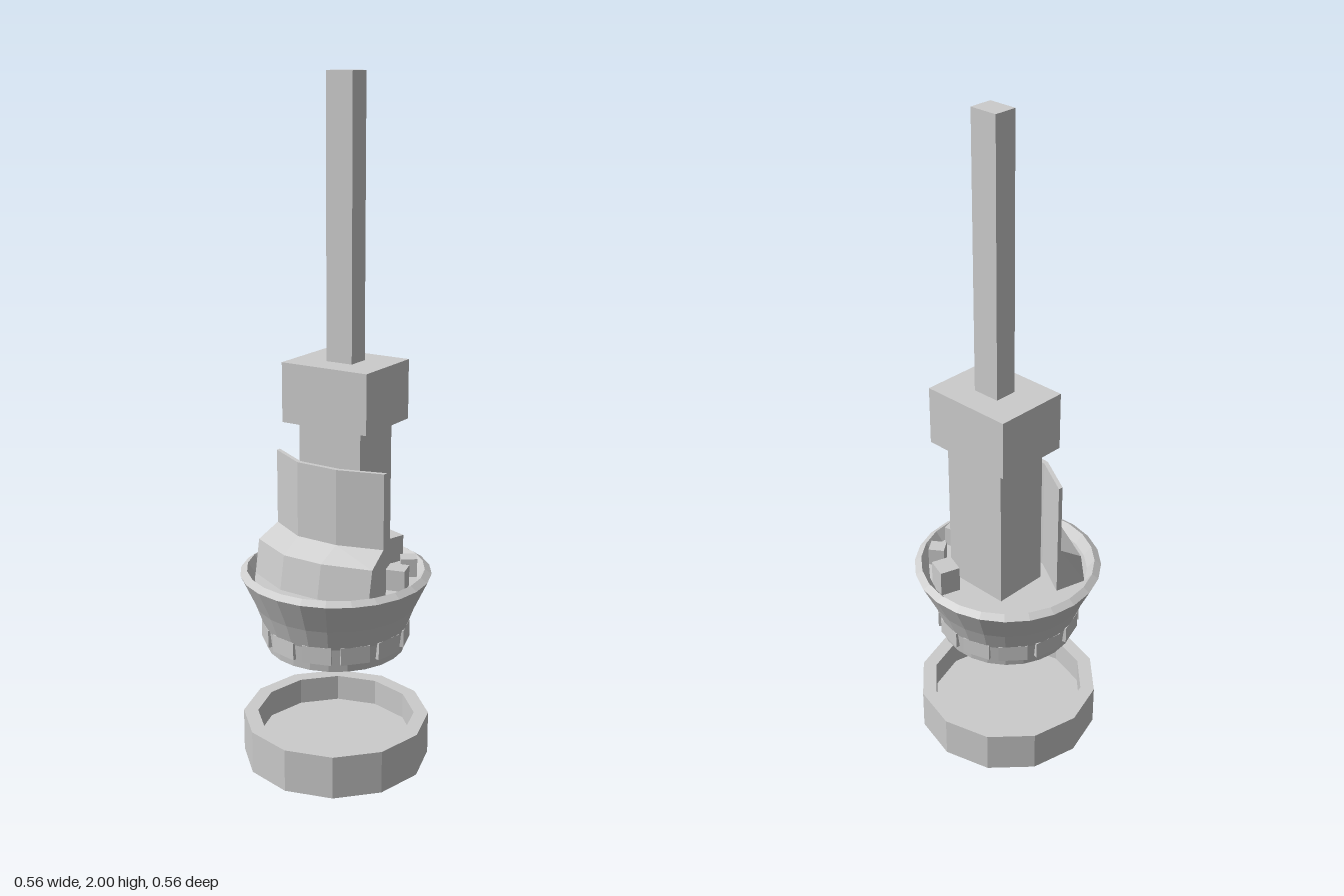
import * as THREE from 'three';

const material = new THREE.MeshStandardMaterial({ color: 0xcccccc, flatShading: true });
const FLOOR = 0.57;

function add(parent, name, geometry) {
  const mesh = new THREE.Mesh(geometry, material);
  mesh.name = name;
  parent.add(mesh);
  return mesh;
}

// Box standing between two heights, turned about the vertical axis
function block(parent, name, w, d, y0, y1, x, z, turn = 0) {
  const mesh = add(parent, name, new THREE.BoxGeometry(w, y1 - y0, d));
  mesh.position.set(x, (y0 + y1) / 2, z);
  mesh.rotation.y = turn;
  return mesh;
}

function lathe(parent, name, profile, sides, start = 0) {
  const points = profile.map(([r, y]) => new THREE.Vector2(r, y));
  return add(parent, name, new THREE.LatheGeometry(points, sides, start));
}

// Bent shield: one cross-section carried along four stations
function shieldGeometry() {
  // Each station: x and z of the plate's face, x shift of the foot's outer edge
  const stations = [[-0.183, 0.039, -0.022], [-0.062, 0.1, -0.003], [0.07, 0.095, -0.008], [0.2, 0.05, 0.005]];
  // Offset forward of the plate's face, height
  const profile = [[-0.014, FLOOR], [-0.014, 0.932], [0, 0.932], [0, 0.71], [0.062, 0.67], [0.08, FLOOR]];
  const loops = stations.map(([x, z, shift]) =>
    profile.map(([o, y]) => [x + (o > 0 ? shift : 0), y, z + o]));
  const positions = [];
  const tri = (a, b, c) => positions.push(...a, ...b, ...c);
  for (let i = 0; i < 3; i++) {
    for (let j = 0; j < 6; j++) {
      const k = (j + 1) % 6;
      const [a, b, c, d] = [loops[i][j], loops[i][k], loops[i + 1][k], loops[i + 1][j]];
      tri(a, b, c);
      tri(a, c, d);
    }
  }
  // End caps fan out from the inner corner
  for (const [j, k] of [[4, 5], [5, 0], [0, 1], [1, 2]]) {
    tri(loops[0][3], loops[0][k], loops[0][j]);
    tri(loops[3][3], loops[3][j], loops[3][k]);
  }
  const geometry = new THREE.BufferGeometry();
  geometry.setAttribute('position', new THREE.Float32BufferAttribute(positions, 3));
  geometry.computeVertexNormals();
  return geometry;
}

export function createModel() {
  const model = new THREE.Group();
  model.name = 'tower';

  // Separate base tray below
  lathe(model, 'baseTray', [[0, 0], [0.278, 0], [0.278, 0.13], [0.235, 0.13], [0.235, 0.05], [0, 0.05]],
    12, THREE.MathUtils.degToRad(4));

  // Flared deck
  lathe(model, 'flaredDeck', [[0, 0.36], [0.205, 0.36], [0.213, 0.43], [0.237, 0.495], [0.28, 0.587],
    [0.26, 0.6], [0.238, FLOOR], [0, FLOOR]], 24);

  // Window panels round the foot of the deck
  const windows = new THREE.Group();
  windows.name = 'windows';
  model.add(windows);
  for (let i = 0; i < 12; i++) {
    const angle = THREE.MathUtils.degToRad(-9 + i * 30);
    block(windows, 'window', 0.085, 0.03, 0.385, 0.437, 0.199 * Math.sin(angle), 0.199 * Math.cos(angle), angle);
  }

  // Column, head and mast share a slightly skewed plan
  const skew = new THREE.Matrix4().makeShear(0, -0.075, 0, 0, 0.03, 0);
  for (const [name, w, d, y0, y1] of [
    ['column', 0.202, 0.164, FLOOR, 1.03],
    ['head', 0.276, 0.222, 1.03, 1.205],
    ['mast', 0.083, 0.067, 1.205, 2],
  ]) block(model, name, w, d, y0, y1, -0.004, -0.053).geometry.applyMatrix4(skew);

  add(model, 'shield', shieldGeometry());

  // Crates on the deck: width, depth, top, x, z, turn
  for (const [w, d, top, x, z, t] of [
    [0.063, 0.06, 0.65, 0.053, -0.199, -0.28],
    [0.047, 0.045, 0.625, 0.166, -0.134, 0.66],
    [0.056, 0.054, 0.632, 0.196, -0.029, 0.32],
  ]) block(model, 'crate', w, d, FLOOR, top, x, z, t);

  return model;
}
